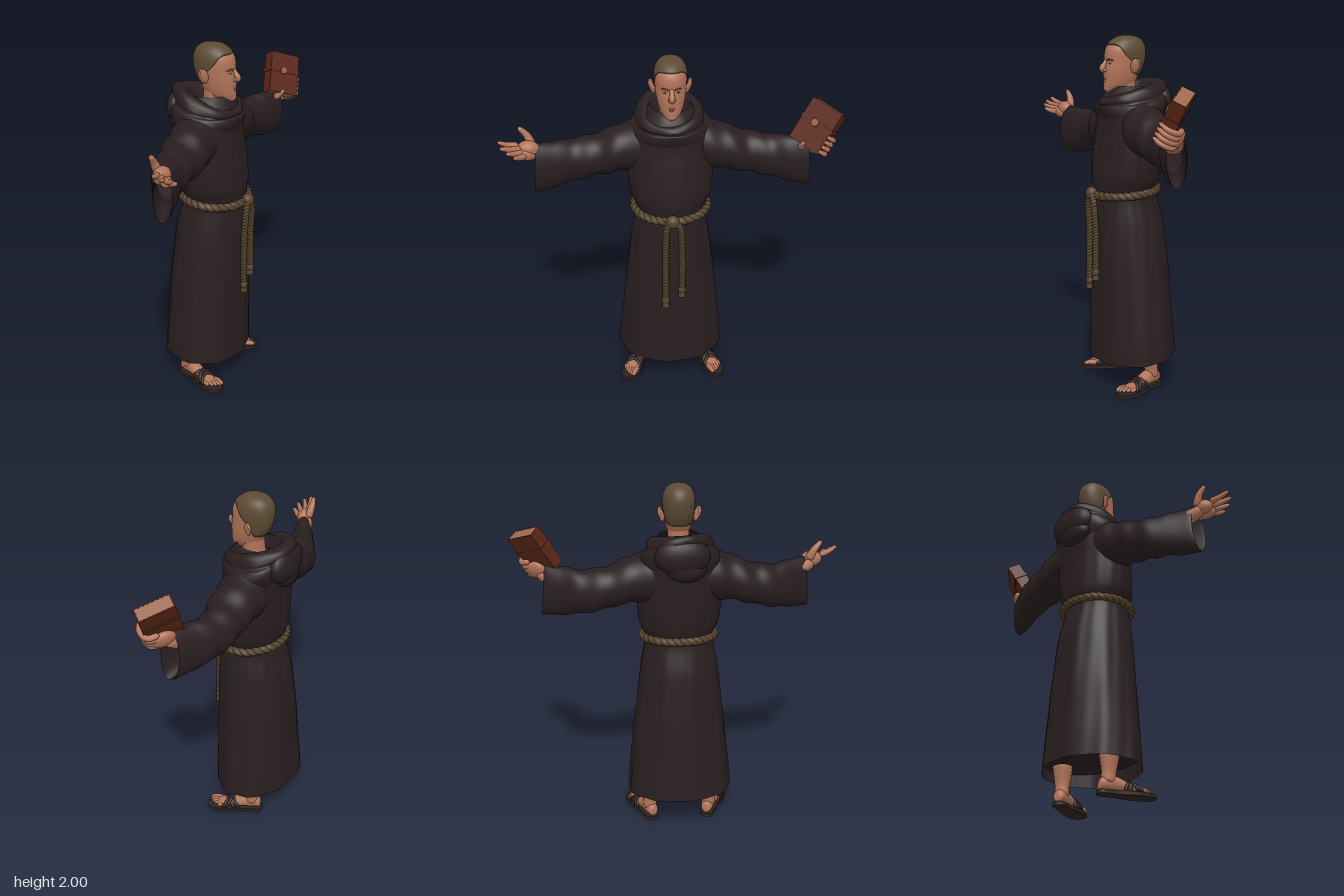
import * as THREE from 'three';

const V = (x, y, z) => new THREE.Vector3(x, y, z);
const mat = (name, color, side = THREE.FrontSide) => {
  const m = new THREE.MeshStandardMaterial({ color, side });
  m.name = name;
  return m;
};

export function createModel() {
  const root = new THREE.Group();
  root.name = 'robedFigure';
  const robe = mat('robeCloth', 0x291e1f, THREE.DoubleSide), rope = mat('ropeCord', 0x57432c);
  const skin = mat('skin', 0xb27459), hair = mat('hair', 0x5c4a33, THREE.DoubleSide);
  const leather = mat('redLeather', 0x5a2618), pages = mat('pageEdges', 0x9c6c50);
  const sandal = mat('sandalLeather', 0x2e2520), lip = mat('lips', 0x95583f);
  const brass = mat('clasp', 0x9a6040), white = mat('eyeWhite', 0xa89488);

  const add = (name, geo, m, parent = root, pos, scale) => {
    const mesh = new THREE.Mesh(geo, m);
    mesh.name = name;
    if (pos) mesh.position.set(...pos);
    if (scale) mesh.scale.set(...scale);
    parent.add(mesh);
    return mesh;
  };
  const ball = (name, m, pos, scale, parent) => add(name, new THREE.SphereGeometry(1, 24, 16), m, parent, pos, scale);

  // Smooth row lookup: t in 0..1 across the key rows
  const sample = (keys, t) => {
    const f = Math.min(Math.max(t, 0), 1) * (keys.length - 1), i = Math.min(Math.floor(f), keys.length - 2), u = f - i;
    const k = (j) => keys[Math.min(Math.max(j, 0), keys.length - 1)];
    return keys[0].map((_, c) => {
      const [a, b, d, e] = [k(i - 1)[c], k(i)[c], k(i + 1)[c], k(i + 2)[c]];
      return b + 0.5 * u * (d - a + u * (2 * a - 5 * b + 4 * d - e + u * (3 * (b - d) + e - a)));
    });
  };

  // Closed rings joined into a skin, wound outward
  const loft = (rows, cols, point, caps = true) => {
    const pts = [], idx = [];
    for (let i = 0; i <= rows; i++)
      for (let j = 0; j < cols; j++) pts.push(point(i / rows, (j / cols) * Math.PI * 2));
    for (let i = 0; i < rows; i++)
      for (let j = 0; j < cols; j++) {
        const a = i * cols + j, a1 = i * cols + ((j + 1) % cols);
        idx.push(a, a + cols, a1, a + cols, a1 + cols, a1);
      }
    if (caps) for (const s of [0, rows * cols]) {
      const c = V(0, 0, 0);
      for (let j = 0; j < cols; j++) c.addScaledVector(pts[s + j], 1 / cols);
      for (let j = 0; j < cols; j++) {
        const p = s + j, q = s + ((j + 1) % cols);
        idx.push(...(s ? [q, p] : [p, q]), pts.length);
      }
      pts.push(c);
    }
    const mid = V(0, 0, 0);
    pts.forEach((p) => mid.addScaledVector(p, 1 / pts.length));
    let vol = 0;
    for (let i = 0; i < idx.length; i += 3) {
      const [a, b, c] = [0, 1, 2].map((k) => pts[idx[i + k]].clone().sub(mid));
      vol += a.dot(b.cross(c));
    }
    if (vol < 0) idx.reverse();
    const g = new THREE.BufferGeometry().setFromPoints(pts);
    g.setIndex(idx);
    g.computeVertexNormals();
    return g;
  };

  // Tapered limb with rounded ends
  const limb = (name, m, pts, radii, parent) => {
    const curve = new THREE.CatmullRomCurve3(pts.map((p) => V(...p))), n = 16, fr = curve.computeFrenetFrames(n);
    return add(name, loft(n, 12, (t, a) => {
      const i = Math.round(t * n), e = Math.min(t, 1 - t);
      const r = sample(radii.map((q) => [q]), t)[0] * (e < 0.12 ? Math.sqrt(0.12 + 0.88 * (1 - (1 - e / 0.12) ** 2)) : 1);
      return curve.getPointAt(t).addScaledVector(fr.normals[i], r * Math.cos(a)).addScaledVector(fr.binormals[i], r * Math.sin(a));
    }), m, parent);
  };

  // Two softly twisted strands
  const cord = (name, pts, r, twists, closed = false) => {
    const curve = new THREE.CatmullRomCurve3(pts, closed), n = twists * 8, fr = curve.computeFrenetFrames(n, closed);
    for (const phase of [0, Math.PI]) {
      const path = [];
      for (let i = 0; i < n + (closed ? 0 : 1); i++) {
        const a = (i / n) * twists * Math.PI * 2 + phase;
        path.push(curve.getPointAt(i / n).addScaledVector(fr.normals[i], r * 0.2 * Math.cos(a)).addScaledVector(fr.binormals[i], r * 0.2 * Math.sin(a)));
      }
      add(name, new THREE.TubeGeometry(new THREE.CatmullRomCurve3(path, closed), n * 2, r * 0.82, 8, closed), rope);
    }
  };

  // Robe body: y, centre x, depth, width
  const body = [[0.17, -0.025, 0.235, 0.303], [0.32, -0.02, 0.23, 0.292], [0.48, -0.014, 0.225, 0.275], [0.64, -0.01, 0.221, 0.258],
    [0.8, -0.002, 0.212, 0.24], [0.96, 0.005, 0.2, 0.22], [1.12, 0.02, 0.175, 0.192], [1.21, 0.016, 0.185, 0.222],
    [1.3, 0.008, 0.185, 0.235], [1.4, 0, 0.18, 0.24], [1.5, -0.01, 0.175, 0.24], [1.58, -0.015, 0.175, 0.22], [1.66, -0.02, 0.16, 0.17], [1.72, -0.02, 0.12, 0.11]];
  add('robeBody', loft(72, 96, (t, a) => {
    const [y, cx, rx, rz] = sample(body, t), hem = Math.max(0, 1 - t * 2.1);
    const f = 1 + (0.006 + 0.012 * hem) * Math.sin(9 * a + Math.sin(y * 3)) + 0.006 * Math.sin(17 * a + y * 4) * (t < 0.8 ? 1 : 0);
    return V(cx + rx * f * Math.cos(a), y - 0.02 * Math.cos(a) * Math.max(0, 1 - t * 6), rz * f * Math.sin(a));
  }, false), robe);
  add('robeLining', new THREE.CircleGeometry(1, 48).rotateX(Math.PI / 2), robe, root, [-0.025, 0.23, 0], [0.222, 1, 0.29]);

  // Cowl: y, centre x, depth, width, tilt
  const cowl = [[1.54, -0.015, 0.172, 0.225, 0.0], [1.59, -0.02, 0.192, 0.23, -0.02], [1.635, -0.02, 0.196, 0.212, -0.03], [1.65, -0.02, 0.182, 0.19, -0.04],
    [1.67, -0.025, 0.194, 0.187, -0.045], [1.7, -0.025, 0.183, 0.172, -0.05], [1.71, -0.02, 0.155, 0.145, -0.05], [1.69, -0.01, 0.125, 0.115, -0.05], [1.6, 0, 0.09, 0.085, -0.04]];
  add('cowl', loft(40, 64, (t, a) => {
    const [y, cx, rx, rz, tilt] = sample(cowl, t), f = 1 + 0.02 * Math.sin(3 * a + t * 7) + 0.012 * Math.sin(7 * a - t * 9);
    return V(cx + rx * f * Math.cos(a), y + tilt * Math.cos(a) + 0.008 * Math.sin(2 * a + t * 5), rz * f * Math.sin(a));
  }, false), robe);
  ball('hoodFold', robe, [-0.175, 1.64, 0], [0.068, 0.105, 0.15]);
  ball('hoodTip', robe, [-0.17, 1.57, 0.02], [0.06, 0.075, 0.11]);

  // Wide sleeves with a turned-in lining: z, centre x, centre y, depth, height
  const sleeve = [[0.08, -0.02, 1.5, 0.13, 0.15], [0.2, -0.02, 1.49, 0.132, 0.142], [0.31, -0.015, 1.465, 0.124, 0.125], [0.43, -0.02, 1.428, 0.106, 0.118],
    [0.55, -0.005, 1.41, 0.09, 0.125], [0.65, 0.035, 1.405, 0.076, 0.137], [0.745, 0.07, 1.405, 0.06, 0.144], [0.74, 0.07, 1.405, 0.052, 0.137], [0.6, 0.015, 1.41, 0.055, 0.1]];
  for (const s of [1, -1])
    add(s > 0 ? 'rightSleeve' : 'leftSleeve', loft(64, 40, (t, a) => {
      const [z, cx, cy, rx, ry] = sample(sleeve, t);
      const f = 1 + (t < 0.7 ? 0.045 * Math.sin(z * 42 + 1.5 * Math.sin(a + s)) * Math.sin((Math.PI * t) / 0.7) : 0);
      const slant = THREE.MathUtils.smoothstep(t, 0.3, 0.72) * (0.012 * Math.sin(a) + (s > 0 ? 0.022 : 0.004));
      return V(cx + rx * f * Math.cos(a), cy + ry * f * Math.sin(a), s * (z - slant));
    }, false), robe);

  // Belt, knot and hanging ends
  const ring = [];
  for (let i = 0; i < 24; i++) {
    const a = (i / 24) * Math.PI * 2;
    ring.push(V(0.021 + 0.184 * Math.cos(a), 1.132 - 0.015 * Math.cos(a), 0.205 * Math.sin(a)));
  }
  cord('belt', ring, 0.024, 16, true);
  ball('beltKnot', rope, [0.222, 1.125, 0], [0.033, 0.038, 0.038]);
  for (const [z, low] of [[0.04, 0.61], [-0.052, 0.68]]) {
    cord('hangingCord', [V(0.225, 1.13, z * 0.2), V(0.228, 1.09, z * 0.75), V(0.22, 0.9, z), V(0.222, low, z)], 0.019, 14);
    ball('cordEnd', rope, [0.222, low, z], [0.021, 0.026, 0.023]);
    add('cordTassel', new THREE.CylinderGeometry(0.016, 0.021, 0.04, 12), rope, root, [0.222, low - 0.025, z]);
  }

  // Head: y, back x, front x, half width
  const skull = [[1.683, 0.04, 0.125, 0.026], [1.715, -0.02, 0.141, 0.053], [1.75, -0.045, 0.14, 0.068], [1.785, -0.065, 0.141, 0.076], [1.82, -0.083, 0.139, 0.081],
    [1.855, -0.094, 0.134, 0.084], [1.89, -0.099, 0.134, 0.086], [1.925, -0.098, 0.126, 0.084], [1.96, -0.083, 0.1, 0.071], [1.985, -0.052, 0.062, 0.046], [1.995, -0.008, 0.02, 0.01]];
  const onHead = (t, a, grow = 0) => {
    const [y, xb, xf, w] = sample(skull, t);
    const c = Math.cos(a), s = Math.sin(a), q = (v) => Math.sign(v) * Math.abs(v) ** 0.92;
    return V((xb + xf) / 2 + ((xf - xb) / 2 + grow) * q(c), y + grow * t, (w + grow) * q(s));
  };
  const head = new THREE.Group();
  head.name = 'head';
  root.add(head);
  add('face', loft(36, 40, (t, a) => onHead(t, a)), skin, head);
  limb('neck', skin, [[0, 1.58, 0], [0.015, 1.68, 0], [0.02, 1.78, 0]], [0.068, 0.062, 0.06], head);
  // Cropped hair with a hairline that drops behind the ears
  const line = [[0.755], [0.755], [0.75], [0.71], [0.58], [0.46], [0.3], [0.28], [0.27], [0.27]];
  add('hair', loft(20, 64, (t, a) => {
    const low = sample(line, Math.acos(Math.cos(a)) / Math.PI)[0];
    return onHead(low + (1 - low) * t, a, 0.003);
  }), hair, head);
  // Facial features
  limb('nose', skin, [[0.124, 1.868, 0], [0.139, 1.842, 0], [0.155, 1.815, 0], [0.138, 1.8, 0]], [0.011, 0.013, 0.016, 0.013], head);
  limb('upperLip', lip, [[0.13, 1.758, -0.026], [0.139, 1.761, 0], [0.13, 1.758, 0.026]], [0.003, 0.006, 0.003], head);
  limb('lowerLip', lip, [[0.129, 1.753, -0.022], [0.139, 1.75, 0], [0.129, 1.753, 0.022]], [0.003, 0.006, 0.003], head);
  ball('chin', skin, [0.12, 1.708, 0], [0.022, 0.022, 0.03], head);
  for (const s of [1, -1]) {
    ball('nostril', skin, [0.138, 1.807, s * 0.012], [0.014, 0.009, 0.009], head);
    ball('eye', white, [0.12, 1.846, s * 0.034], [0.009, 0.005, 0.013], head);
    ball('iris', sandal, [0.126, 1.846, s * 0.034], [0.004, 0.005, 0.006], head);
    limb('brow', hair, [[0.132, 1.861, s * 0.014], [0.127, 1.866, s * 0.035], [0.108, 1.862, s * 0.056]], [0.004, 0.005, 0.003], head);
    const ear = ball('ear', skin, [0, 1.83, s * 0.098], [0.024, 0.04, 0.012], head);
    ear.rotation.set(s * 0.3, s * 0.5, 0);
    limb('earRim', skin, [[0.015, 1.856, s * 0.092], [-0.008, 1.868, s * 0.108], [-0.022, 1.843, s * 0.112], [-0.005, 1.798, s * 0.092]], [0.005, 0.007, 0.007, 0.006], head);
  }

  // Open hand
  limb('rightWrist', skin, [[0.02, 1.46, 0.58], [0.05, 1.485, 0.69], [0.08, 1.515, 0.77]], [0.042, 0.038, 0.036]);
  ball('rightPalm', skin, [0.088, 1.53, 0.765], [0.042, 0.045, 0.06]);
  limb('rightPalmEdge', skin, [[0.075, 1.49, 0.73], [0.11, 1.505, 0.77], [0.135, 1.515, 0.815]], [0.028, 0.033, 0.024]);
  limb('rightThumb', skin, [[0.06, 1.535, 0.745], [0.05, 1.59, 0.77], [0.055, 1.64, 0.812]], [0.026, 0.02, 0.012]);
  const tips = [[0.125, 1.588, 0.918], [0.165, 1.57, 0.905], [0.192, 1.552, 0.87], [0.2, 1.53, 0.832]];
  tips.forEach(([x, y, z], i) => {
    const k = [0.09 + i * 0.015, 1.55 - i * 0.014, 0.815 - i * 0.012];
    limb('rightFinger', skin, [k, [(k[0] + x) / 2, (k[1] + y) / 2 - 0.004, (k[2] + z) / 2 + 0.004], [x, y, z]], [0.018, 0.015, 0.01]);
  });

  // Book held by the other hand, built in its own frame
  const book = new THREE.Group();
  book.name = 'bookAndHand';
  const w = V(0.14, -0.065, -0.15).normalize(), n = w.clone().cross(V(-0.06, 0.22, -0.1)).normalize();
  book.quaternion.setFromRotationMatrix(new THREE.Matrix4().makeBasis(w, n.clone().cross(w), n));
  book.position.set(0.103, 1.622, -0.785);
  root.add(book);
  const box = (name, m, size, pos) => add(name, new THREE.BoxGeometry(...size), m, book, pos);
  box('pageBlock', pages, [0.178, 0.242, 0.068], [0, 0, 0]);
  for (const s of [1, -1]) {
    box('bookCover', leather, [0.188, 0.244, 0.007], [0, 0, s * 0.0365]);
    box(s > 0 ? 'bookFlap' : 'bookSpine', leather, [0.007, 0.244, 0.078], [s * 0.092, 0, 0]);
  }
  box('bookStrap', leather, [0.2, 0.024, 0.087], [0, 0.015, 0]);
  add('bookClasp', new THREE.CylinderGeometry(0.021, 0.024, 0.012, 20), brass, book, [-0.01, 0.015, 0.047]).rotation.x = Math.PI / 2;
  ball('leftPalm', skin, [0.02, -0.09, -0.06], [0.065, 0.055, 0.03], book);
  for (let i = 0; i < 4; i++) {
    const y = -0.115 + i * 0.029;
    limb('leftFinger', skin, [[0.03, y, -0.062], [0.09, y + 0.004, -0.056], [0.112, y + 0.01, -0.005], [0.092, y + 0.014, 0.05]], [0.016, 0.016, 0.014, 0.01], book);
  }
  limb('leftThumb', skin, [[-0.01, -0.11, -0.06], [-0.02, -0.14, -0.005], [0, -0.105, 0.05]], [0.022, 0.019, 0.011], book);
  limb('leftWrist', skin, [[0.03, 1.45, -0.6], [0.05, 1.465, -0.7], [0.085, 1.505, -0.775]], [0.042, 0.036, 0.034]);

  // Legs, feet and sandals
  const footKeys = [[-0.055, 0.042, 0.016, 0.016], [-0.038, 0.055, 0.036, 0.032], [0.03, 0.062, 0.044, 0.036], [0.09, 0.05, 0.033, 0.039], [0.15, 0.04, 0.021, 0.044], [0.205, 0.035, 0.012, 0.041]];
  const outline = [[-0.066, 0], [-0.046, 0.036], [0.04, 0.04], [0.14, 0.054], [0.22, 0.052], [0.262, 0.025], [0.266, -0.015], [0.24, -0.045], [0.15, -0.054], [0.04, -0.04], [-0.046, -0.036], [-0.066, 0]];
  const sole = new THREE.Shape(new THREE.SplineCurve(outline.map((p) => new THREE.Vector2(...p))).getPoints(48));
  const soleGeo = new THREE.ExtrudeGeometry(sole, { depth: 0.02, bevelEnabled: false }).rotateX(-Math.PI / 2);
  for (const s of [1, -1]) {
    const foot = new THREE.Group();
    foot.name = s > 0 ? 'rightFoot' : 'leftFoot';
    foot.position.set(-0.068, 0, s > 0 ? 0.17 : -0.182);
    foot.rotation.y = -s * 0.4;
    root.add(foot);
    add('sole', soleGeo, sandal, foot);
    limb('leg', skin, [[0, 0.05, 0], [0.002, 0.1, 0], [0.006, 0.16, 0], [0.008, 0.25, 0]], [0.042, 0.04, 0.05, 0.058], foot);
    add('footBody', loft(20, 20, (t, a) => {
      const [x, y, ry, rz] = sample(footKeys, t);
      return V(x, Math.max(0.018, y + ry * Math.sin(a)), rz * Math.cos(a));
    }), skin, foot);
    for (let i = 0; i < 5; i++) {
      const z = s * (-0.034 + i * 0.0175), x = 0.255 - i * i * 0.003;
      limb('toe', skin, [[0.18, 0.036, z], [x - 0.03, 0.038, z], [x, 0.031, z]], i ? [0.011, 0.011, 0.008] : [0.015, 0.015, 0.011], foot);
    }
    // Crossed straps over the instep and the ball of the foot
    for (const [p, q, h] of [[0.075, 0.155, 0.074], [0.155, 0.075, 0.074], [0.1, 0.175, 0.065], [0.175, 0.1, 0.065]]) {
      const m = (p + q) / 2;
      limb('strap', sandal, [[p, 0.02, -0.046], [p * 0.75 + q * 0.25, h * 0.76, -0.035], [m, h, 0], [p * 0.25 + q * 0.75, h * 0.76, 0.035], [q, 0.02, 0.046]], [0.01, 0.01, 0.01], foot);
    }
  }
  return root;
}
